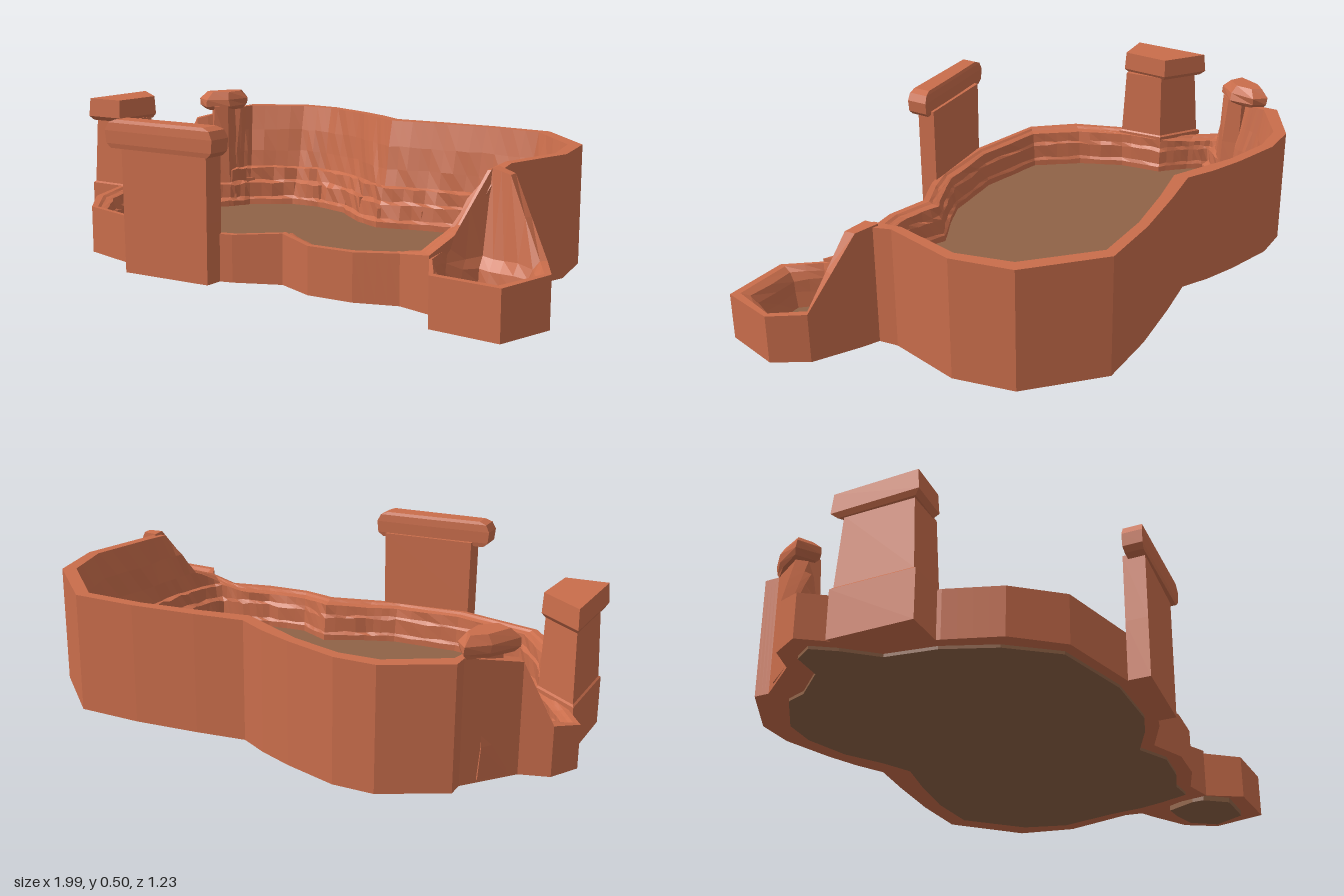
import * as THREE from 'three';

const rock = new THREE.MeshStandardMaterial({ color: 0xc96d4b, flatShading: true, side: THREE.DoubleSide });
const earth = new THREE.MeshStandardMaterial({ color: 0x8f6246, flatShading: true, side: THREE.DoubleSide });

let seed = 7;
const jitter = (a) => {
  seed = (seed * 16807) % 2147483647;
  return (seed / 2147483647 - 0.5) * 2 * a;
};

// Skin a list of closed rings, each ring a list of [x, y, z]
function loft(name, rings, material) {
  const n = rings[0].length, index = [];
  for (let k = 0; k < rings.length - 1; k++) {
    for (let j = 0; j < n; j++) {
      const a = k * n + j, b = k * n + (j + 1) % n, c = b + n, d = a + n;
      index.push(a, d, c, a, c, b);
    }
  }
  const indexed = new THREE.BufferGeometry();
  indexed.setAttribute('position', new THREE.Float32BufferAttribute(rings.flat(2), 3));
  indexed.setIndex(index);
  const geometry = indexed.toNonIndexed();
  geometry.computeVertexNormals();
  const mesh = new THREE.Mesh(geometry, material);
  mesh.name = name;
  return mesh;
}

// Solid from a plan polygon [x, z] scaled about its centre at each level [y, scale]
function stack(name, plan, levels, material = rock, rough = 0) {
  const cx = plan.reduce((s, p) => s + p[0], 0) / plan.length;
  const cz = plan.reduce((s, p) => s + p[1], 0) / plan.length;
  const all = [[levels[0][0], 0], ...levels, [levels[levels.length - 1][0], 0]];
  return loft(name, all.map(([y, s]) => plan.map(([x, z]) => [
    cx + (x - cx) * s + jitter(rough * s), y, cz + (z - cz) * s + jitter(rough * s),
  ])), material);
}

// Split every outline span into shorter spans
function subdivide(outline, parts) {
  return outline.flatMap((p, i) => {
    const q = outline[(i + 1) % outline.length];
    return Array.from({ length: parts }, (_, k) => p.map((v, c) => v + (q[c] - v) * k / parts));
  });
}

// Rock wall from outline rows [outer x, outer z, inner x, inner z, height]
function wall(name, outline, profile, parts) {
  const rows = subdivide(outline, parts);
  const rings = profile.map(([t, y, rough]) => rows.map(([ox, oz, ix, iz, h]) => {
    const s = t + jitter(rough);
    const top = y === null ? h : Math.min(y + jitter(rough * 0.08), h - 0.015 * t);
    return [ox + (ix - ox) * s, top, oz + (iz - oz) * s];
  }));
  return loft(name, rings, rock);
}

// Ground slab filling a wall's outline
function ground(name, outline, t) {
  const plan = outline.map(([ox, oz, ix, iz]) => new THREE.Vector2(ox + (ix - ox) * t, -(oz + (iz - oz) * t)));
  const geometry = new THREE.ExtrudeGeometry(new THREE.Shape(plan), { depth: 0.03, bevelEnabled: false });
  geometry.rotateX(-Math.PI / 2);
  const mesh = new THREE.Mesh(geometry, earth);
  mesh.name = name;
  return mesh;
}

export function createModel() {
  const group = new THREE.Group();
  group.name = 'canyonArena';

  // High cliff around the back
  const back = [
    [-0.99, -0.18, -0.9, -0.16, 0.15], [-0.94, -0.27, -0.87, -0.2, 0.17],
    [-0.85, -0.3, -0.76, -0.2, 0.36], [-0.73, -0.45, -0.68, -0.28, 0.4],
    [-0.73, -0.5, -0.64, -0.36, 0.4], [-0.54, -0.61, -0.51, -0.46, 0.4],
    [-0.41, -0.615, -0.4, -0.48, 0.4], [-0.24, -0.57, -0.26, -0.45, 0.4],
    [-0.13, -0.53, -0.13, -0.36, 0.4], [-0.04, -0.485, -0.02, -0.32, 0.4],
    [0.12, -0.51, 0.13, -0.37, 0.4], [0.33, -0.535, 0.29, -0.41, 0.4],
    [0.54, -0.54, 0.46, -0.41, 0.4], [0.75, -0.35, 0.61, -0.26, 0.4],
    [0.79, -0.155, 0.66, -0.14, 0.4], [0.73, 0.085, 0.63, 0.03, 0.4],
  ];
  // Low bank around the front
  const front = [
    [0.74, 0.17, 0.6, 0.18, 0.39], [0.69, 0.27, 0.59, 0.27, 0.24],
    [0.66, 0.42, 0.55, 0.33, 0.18], [0.55, 0.4, 0.47, 0.34, 0.165],
    [0.42, 0.45, 0.38, 0.37, 0.16], [0.27, 0.465, 0.24, 0.39, 0.16],
    [0.14, 0.42, 0.13, 0.34, 0.17], [0, 0.49, 0, 0.41, 0.16],
    [-0.1, 0.52, -0.1, 0.45, 0.16], [-0.34, 0.525, -0.33, 0.47, 0.165],
    [-0.63, 0.47, -0.58, 0.42, 0.165], [-0.75, 0.335, -0.69, 0.28, 0.165],
    [-0.81, 0.17, -0.76, 0.13, 0.165], [-0.84, 0, -0.78, -0.02, 0.165],
    [-0.93, -0.1, -0.86, -0.1, 0.15],
  ];
  const arena = [...back, ...front];
  // Section: outer face, rim, sloping inner face, stepped strata, base
  const strata = [
    [0, 0.01, 0], [0, null, 0], [0.28, null, 0], [0.42, 0.31, 0.03], [0.53, 0.23, 0.03],
    [0.6, 0.17, 0.03], [0.73, 0.165, 0.05], [0.76, 0.12, 0.05], [0.88, 0.11, 0.05],
    [0.9, 0.06, 0.04], [1, 0.05, 0.03], [1, 0.01, 0], [0, 0.01, 0],
  ];
  group.add(wall('arenaWall', arena, strata, 4));
  group.add(ground('arenaFloor', arena, 0.6));

  // Side basin with a fin running down from the cliff
  const basin = [
    [0.67, 0.33, 0.68, 0.37, 0.19], [0.72, 0.14, 0.73, 0.29, 0.4], [0.79, 0.17, 0.8, 0.285, 0.39],
    [0.935, 0.245, 0.88, 0.29, 0.17], [1, 0.35, 0.94, 0.37, 0.165],
    [0.95, 0.535, 0.88, 0.46, 0.16], [0.73, 0.535, 0.74, 0.465, 0.16], [0.66, 0.42, 0.68, 0.4, 0.17],
  ];
  const basinSection = [
    [0, 0.01, 0], [0, null, 0], [0.3, null, 0], [0.6, 0.15, 0.05],
    [0.8, 0.12, 0.05], [0.85, 0.08, 0.05], [1, 0.02, 0], [0, 0.01, 0],
  ];
  group.add(wall('basinWall', basin, basinSection, 2));
  group.add(ground('basinFloor', basin, 0.8));

  // Broad slab pillar on the front bank
  group.add(stack('frontPillar', [[-0.35, 0.525], [-0.04, 0.495], [-0.04, 0.56], [-0.35, 0.595]],
    [[0.01, 1], [0.2, 1.01], [0.42, 1.02]]));
  group.add(stack('frontPillarCap', [[-0.41, 0.545], [-0.2, 0.52], [0, 0.5], [0, 0.575], [-0.2, 0.592], [-0.41, 0.61]],
    [[0.405, 0.9], [0.42, 0.98], [0.46, 1], [0.485, 0.94], [0.495, 0.82]]));

  // Square tower at the side gate
  group.add(stack('gateTower', [[-0.94, -0.1], [-0.8, -0.01], [-0.785, 0.15], [-0.94, 0.16]],
    [[0.01, 1.05], [0.165, 1.05], [0.17, 0.98], [0.4, 0.88]]));
  group.add(stack('gateTowerCap', [[-0.945, -0.12], [-0.8, -0.02], [-0.81, 0.155], [-0.95, 0.17]],
    [[0.395, 0.88], [0.41, 1], [0.474, 0.96]]));

  // Slim mushroom column at the end of the cliff
  group.add(stack('gateColumn', [[-0.81, -0.33], [-0.77, -0.4], [-0.71, -0.38], [-0.7, -0.31], [-0.75, -0.27]],
    [[0.02, 1.25], [0.12, 1.1], [0.25, 0.9], [0.41, 0.8]], rock, 0.008));
  group.add(stack('gateColumnCap', [[-0.84, -0.31], [-0.79, -0.41], [-0.73, -0.46], [-0.7, -0.42], [-0.71, -0.33], [-0.77, -0.27]],
    [[0.395, 0.8], [0.41, 1], [0.435, 0.98], [0.463, 0.7]], rock, 0.005));

  // Loose stepped rocks along the foot of the cliff
  for (let i = 3; i < back.length - 1; i++) {
    const [ox, oz, ix, iz] = back[i];
    const x = ix + (ox - ix) * 0.25, z = iz + (oz - iz) * 0.25, r = 0.025;
    group.add(stack('cliffRock', [[x - r, z], [x, z - r], [x + r, z], [x, z + r]],
      [[0.02, 1], [0.11 + jitter(0.02), 0.8]], rock, 0.006));
  }
  return group;
}
